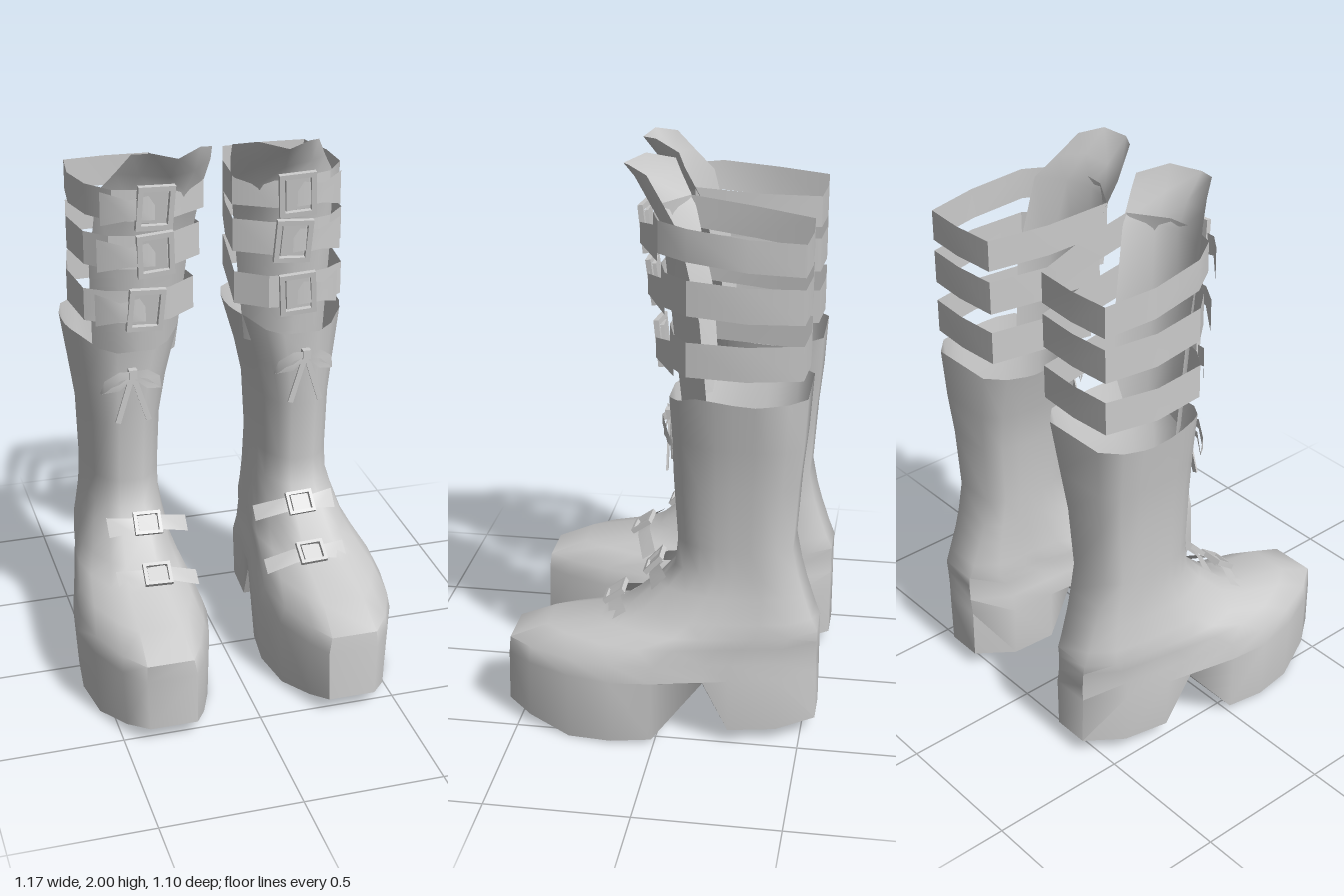
import * as THREE from 'three';
import { toCreasedNormals } from 'three/addons/utils/BufferGeometryUtils.js';

const mat = new THREE.MeshStandardMaterial({ color: 0xcccccc, side: THREE.DoubleSide });
const lerp = THREE.MathUtils.lerp;

// Skin a grid of points; rows run from top to bottom
function skin(rows, closed, extra = []) {
  const n = rows[0].length, idx = [...extra];
  for (let k = 0; k < rows.length - 1; k++) {
    for (let i = 0; i < (closed ? n : n - 1); i++) {
      const a = k * n + i, b = k * n + (i + 1) % n;
      idx.push(a, b, a + n, b, b + n, a + n);
    }
  }
  const g = new THREE.BufferGeometry();
  g.setAttribute('position', new THREE.Float32BufferAttribute(rows.flat(2), 3));
  g.setIndex(idx);
  return g;
}

function part(name, geometry, parent, crease = 0.9) {
  const mesh = new THREE.Mesh(toCreasedNormals(geometry, crease), mat);
  mesh.name = name;
  parent.add(mesh);
  return mesh;
}

// Stations from back to front: position, inner and outer width fractions
const T = [0, 0.12, 0.27, 0.35, 0.51, 0.64, 0.78, 0.92, 1];
const FOOT_IN = [0.31, 0.13, 0.11, 0.10, 0.03, 0, 0.07, 0.19, 0.29];
const FOOT_OUT = [0.6, 0.78, 0.85, 0.89, 0.97, 1, 0.94, 0.8, 0.66];
const SHAFT_IN = [0.2, 0.05, 0, 0, 0, 0.02, 0.07, 0.2, 0.34];
const SOLE_Y = [0.06, 0.05, 0.05, 0.24, 0.02, 0.01, 0, 0.035, 0.06];
const RIM_Y = [1.28, 1.28, 1.275, 1.27, 1.275, 1.28, 1.28, 1.25, 1.24];

function bootBody() {
  // y, back z, front z, inner x, outer x, share of foot outline
  const rings = [
    [RIM_Y, -0.5, -0.03, 0.10, 0.51, 0],
    [1.1, -0.49, -0.04, 0.15, 0.485, 0],
    [0.95, -0.475, -0.045, 0.18, 0.465, 0],
    [0.72, -0.46, -0.06, 0.19, 0.46, 0],
    [0.62, -0.48, -0.05, 0.188, 0.465, 0.1],
    [0.55, -0.5, 0.01, 0.182, 0.48, 0.3],
    [0.46, -0.53, 0.11, 0.17, 0.505, 0.5],
    [0.41, -0.55, 0.21, 0.155, 0.53, 0.7],
    [0.37, -0.55, 0.4, 0.14, 0.553, 0.9],
    [0.31, -0.55, 0.535, 0.12, 0.572, 1],
    [0.25, -0.55, 0.54, 0.10, 0.585, 1],
    [SOLE_Y, -0.55, 0.545, 0.11, 0.57, 1],
  ];
  const n = T.length;
  const rows = rings.map(([y, zb, zf, xi, xo, foot]) => {
    const side = (inner) => T.map((t, i) => {
      const f = inner ? lerp(SHAFT_IN[i], FOOT_IN[i], foot) : lerp(1 - SHAFT_IN[i], FOOT_OUT[i], foot);
      return [lerp(xi, xo, f), Array.isArray(y) ? y[i] : y, lerp(zb, zf, t)];
    });
    return [...side(false), ...side(true).reverse()];
  });
  // Sole: ladder of quads between the two edges
  const sole = [], base = (rings.length - 1) * 2 * n;
  for (let i = 0; i < n - 1; i++) {
    const o = base + i, p = base + 2 * n - 1 - i;
    sole.push(o, o + 1, p, o + 1, p - 1, p);
  }
  return skin(rows, true, sole);
}

// Rectangular frame with a prong
function buckle(w, h, parent, pos, rot) {
  const g = new THREE.Group();
  g.name = 'buckle';
  const rect = (C, a, b) => new C([[-a, -b], [a, -b], [a, b], [-a, b]].map(p => new THREE.Vector2(...p)));
  const s = rect(THREE.Shape, w / 2, h / 2), b = Math.min(w, h) * 0.14;
  s.holes.push(rect(THREE.Path, w / 2 - b, h / 2 - b));
  part('buckleFrame', new THREE.ExtrudeGeometry(s, { depth: 0.018, bevelEnabled: false }), g);
  const prong = part('bucklePlate', new THREE.BoxGeometry(w * 0.65, h * 0.72, 0.012), g);
  prong.rotation.y = 0.12;
  g.position.set(...pos);
  g.rotation.set(...rot);
  parent.add(g);
}

// Flat ribbon that follows points, with a width at each
function ribbon(name, pts, widths, parent) {
  const rows = [1, -1].map(s => pts.map(([x, y, z], i) => [x, y + s * widths[i] / 2, z]));
  return part(name, skin(rows, false), parent);
}

function createBoot() {
  const boot = new THREE.Group();
  part('bootBody', bootBody(), boot, 1.0);

  // Tall curved tongue, flaring forward at the top
  part('tongue', skin([
    [[0.035, 1.97, 0], [0.10, 2, 0.09], [0.19, 1.985, 0.15], [0.27, 2, 0.12], [0.325, 1.98, 0.05]],
    [[0.035, 1.92, -0.02], [0.11, 1.91, 0.06], [0.2, 1.9, 0.075], [0.30, 1.91, 0.06], [0.37, 1.9, -0.01]],
    [[0.05, 1.82, -0.07], [0.13, 1.82, 0.0], [0.22, 1.82, 0.02], [0.33, 1.82, 0.0], [0.42, 1.82, -0.07]],
    [[0.09, 1.53, -0.14], [0.17, 1.53, -0.05], [0.27, 1.53, -0.02], [0.37, 1.53, -0.05], [0.44, 1.53, -0.14]],
    [[0.13, 1.18, -0.17], [0.2, 1.18, -0.09], [0.28, 1.18, -0.06], [0.37, 1.18, -0.09], [0.43, 1.18, -0.17]],
  ], false), boot, 1.4);

  // Three calf straps: low y, height, front lift, inner x, outer x, front z, buckle x
  [
    [1.70, 0.11, 0.04, 0.05, 0.455, 0.035, 0.25],
    [1.54, 0.12, 0.02, 0.06, 0.465, 0.01, 0.245],
    [1.35, 0.12, 0, 0.075, 0.47, -0.02, 0.275],
  ].forEach(([y, h, lift, xi, xo, zf, bx], k) => {
    const plan = [
      [0.14, -0.485], [0.3, -0.495], [0.45, -0.485], [xo + 0.02, -0.3], [xo, -0.1],
      [xo - 0.07, zf - 0.03], [0.29, zf], [0.18, zf - 0.01], [xi, zf - 0.09], [xi + 0.03, -0.28],
    ];
    const row = (top) => plan.map(([x, z]) =>
      [x, y + (top ? h : 0) + lift * THREE.MathUtils.smoothstep(z, -0.5, 0), z]);
    part('calfStrap', skin([row(true), row(false)], true), boot, 0.5);
    const cy = y + h / 2 + lift;
    buckle(0.13, 0.16, boot, [bx, cy, zf + 0.018], [0.12, -0.05, [0.06, -0.05, 0.08][k]]);
    // Loose strap end beyond the buckle
    ribbon('strapEnd', [[bx, cy, zf + 0.025], [bx + 0.09, cy, zf + 0.035], [xo - 0.03, cy - 0.01, zf - 0.035]],
      [0.09, 0.07, 0.12], boot);
  });

  // Two small straps over the instep
  [[0.575, 0.02, -0.75], [0.44, 0.165, -0.95]].forEach(([y, z, tilt]) => {
    const g = new THREE.Group();
    g.name = 'instepStrap';
    ribbon('instepBand', [[-0.16, 0, -0.06], [-0.06, 0, 0.002], [0, 0, 0.012], [0.06, 0, 0.01], [0.14, 0.01, -0.02]],
      [0.06, 0.055, 0.055, 0.055, 0.075], g);
    buckle(0.1, 0.085, g, [0, 0, 0.012], [0, 0, 0.04]);
    g.position.set(0.29, y, z);
    g.rotation.x = tilt;
    boot.add(g);
  });

  // Lace bow: two loops, two tails and a knot
  const bow = new THREE.Group();
  bow.name = 'laceBow';
  bow.position.set(0.32, 1.16, -0.022);
  for (const s of [-1, 1]) {
    ribbon('bowLoop', [[0, 0, 0.005], [s * 0.05, 0, 0.015], [s * 0.1, -0.045, -0.01], [s * 0.11, -0.075, -0.03]],
      [0.02, 0.035, 0.045, 0.01], bow);
    ribbon('bowLoopBack', [[0, -0.01, 0], [s * 0.05, -0.045, 0.01], [s * 0.11, -0.075, -0.03]],
      [0.015, 0.025, 0.01], bow);
    const tail = part('bowTail', new THREE.BoxGeometry(0.02, 0.18, 0.006), bow);
    tail.position.set(s * 0.03, -0.1, -0.002);
    tail.rotation.z = s * 0.3;
  }
  part('bowKnot', new THREE.BoxGeometry(0.03, 0.035, 0.025), bow);
  boot.add(bow);
  return boot;
}

export function createModel() {
  const model = new THREE.Group();
  model.name = 'platformBoots';
  const left = createBoot();
  left.name = 'leftBoot';
  const right = createBoot();
  right.name = 'rightBoot';
  right.scale.x = -1;
  model.add(left, right);
  return model;
}
